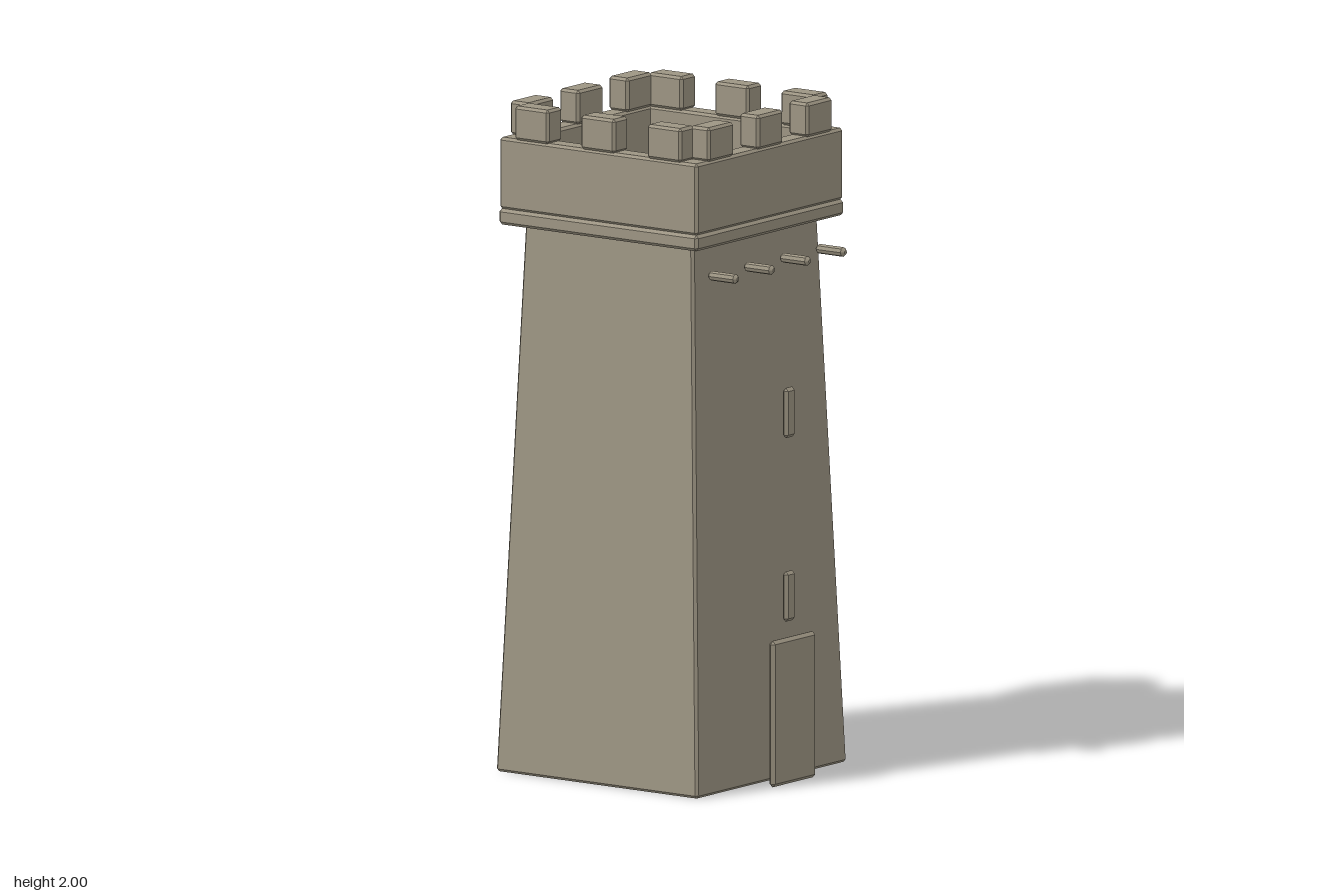
import * as THREE from 'three';
import { ConvexGeometry } from 'three/addons/geometries/ConvexGeometry.js';

const stone = new THREE.MeshStandardMaterial({ color: 0x9d9583 });
stone.name = 'stone';

// Box with chamfered edges; taper scales the top relative to the bottom
function chamferBox(w, h, d, bevel = 0.008, taper = 1) {
  const points = [];
  for (const sx of [-1, 1]) for (const sy of [-1, 1]) for (const sz of [-1, 1]) {
    const k = sy > 0 ? taper : 1;
    const x = (w / 2) * k, y = h / 2, z = (d / 2) * k;
    points.push(
      new THREE.Vector3(sx * x, sy * (y - bevel), sz * (z - bevel)),
      new THREE.Vector3(sx * (x - bevel), sy * y, sz * (z - bevel)),
      new THREE.Vector3(sx * (x - bevel), sy * (y - bevel), sz * z)
    );
  }
  return new ConvexGeometry(points);
}

function add(parent, name, geometry, x, y, z) {
  const mesh = new THREE.Mesh(geometry, stone);
  mesh.name = name;
  mesh.position.set(x, y, z);
  parent.add(mesh);
  return mesh;
}

export function createModel() {
  const model = new THREE.Group();
  model.name = 'watchtower';

  // The tower itself sits slightly off centre, leaving room for door and slits
  const tower = new THREE.Group();
  tower.name = 'tower';
  tower.position.set(-0.035, 0, -0.042);
  model.add(tower);

  // Tapered shaft and the ledge that also forms the roof floor
  add(tower, 'shaft', chamferBox(0.74, 1.645, 0.74, 0.008, 0.834), 0, 0.8225, 0);
  add(tower, 'ledge', chamferBox(0.73, 0.048, 0.73, 0.009), 0, 1.662, 0);

  // Parapet: one wall with three merlons, repeated on four sides
  for (let i = 0; i < 4; i++) {
    const side = new THREE.Group();
    side.name = 'parapetSide';
    side.rotation.y = (i * Math.PI) / 2;
    tower.add(side);
    add(side, 'parapetWall', chamferBox(0.726, 0.215, 0.066), 0, 1.7925, 0.33);
    for (const x of [-0.243, 0, 0.243]) {
      add(side, 'merlon', chamferBox(0.126, 0.102, 0.072), x, 1.949, 0.33);
    }
  }

  // Arrow slits on the front and on the left side
  for (const y of [0.56, 1.11]) {
    add(model, 'frontArrowSlit', chamferBox(0.05, 0.15, 0.02, 0.0095), -0.035, y, 0.389);
    add(model, 'sideArrowSlit', chamferBox(0.02, 0.15, 0.05, 0.0095), 0.395, y, -0.042);
  }

  // Door slab
  add(model, 'door', chamferBox(0.216, 0.438, 0.022, 0.01), -0.035, 0.222, 0.402);

  // Round beam ends below the ledge, with tapered tips
  const beam = new THREE.LatheGeometry([
    new THREE.Vector2(0, -0.053), new THREE.Vector2(0.006, -0.053),
    new THREE.Vector2(0.0145, -0.044), new THREE.Vector2(0.0145, 0.044),
    new THREE.Vector2(0.006, 0.053), new THREE.Vector2(0, 0.053)
  ], 8).toNonIndexed();
  beam.rotateX(Math.PI / 2);
  beam.computeVertexNormals();
  for (let i = 0; i < 4; i++) {
    add(model, 'beam', beam, -0.3 + i * 0.177, 1.55, 0.347);
  }
  return model;
}
